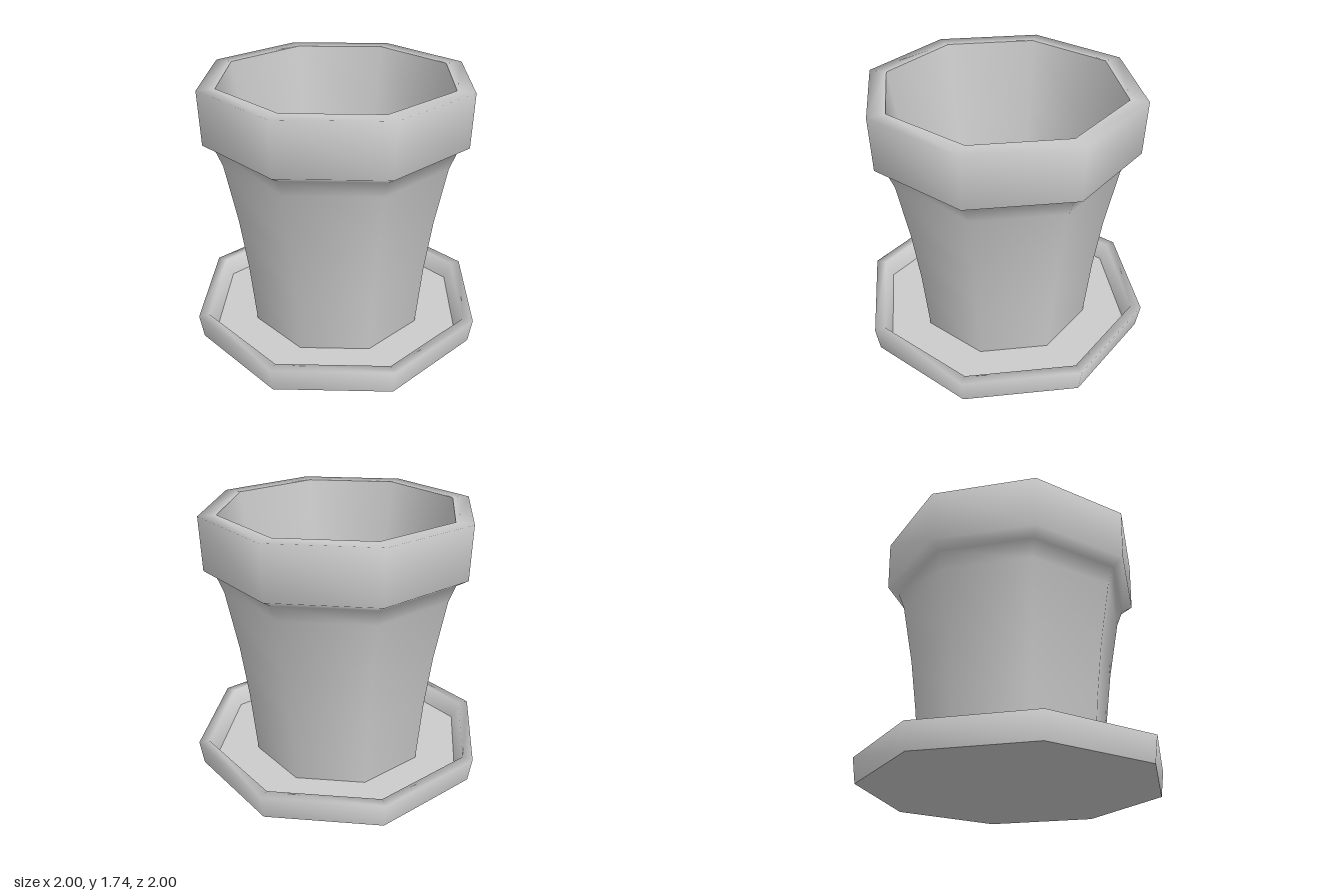
import * as THREE from 'three';

const SIDES = 8;
const material = new THREE.MeshStandardMaterial({ color: 0xcccccc });

// Eight-sided turned surface; the profile runs so that its left side faces inwards to the body
function turned(name, profile) {
  const points = profile.map(([r, y]) => new THREE.Vector2(r, y));
  const mesh = new THREE.Mesh(new THREE.LatheGeometry(points, SIDES), material);
  mesh.name = name;
  return mesh;
}

function part(name, ...meshes) {
  const group = new THREE.Group();
  group.name = name;
  group.add(...meshes);
  return group;
}

export function createModel() {
  // Shallow tray: flat underside, flared rim, recessed floor
  const saucer = part('saucer',
    turned('saucerUnderside', [[0, 0], [0.975, 0]]),
    turned('saucerRim', [[0.975, 0], [1, 0.165], [0.93, 0.165], [0.88, 0.05]]),
    turned('saucerFloor', [[0.88, 0.05], [0, 0.05]]));

  // Pot: curved wall flaring into a thick collar, hollow inside
  const pot = part('pot',
    turned('potWallAndCollar', [
      [0.595, 0.05], [0.634, 0.48], [0.682, 0.84], [0.757, 1.24],
      [0.8, 1.35], [0.875, 1.395], [0.885, 1.74], [0.77, 1.74],
    ]),
    turned('potInside', [[0.77, 1.74], [0.69, 1.24], [0.61, 0.7], [0.53, 0.12]]),
    turned('potFloor', [[0.53, 0.12], [0, 0.12]]));

  return part('flowerPot', saucer, pot);
}
